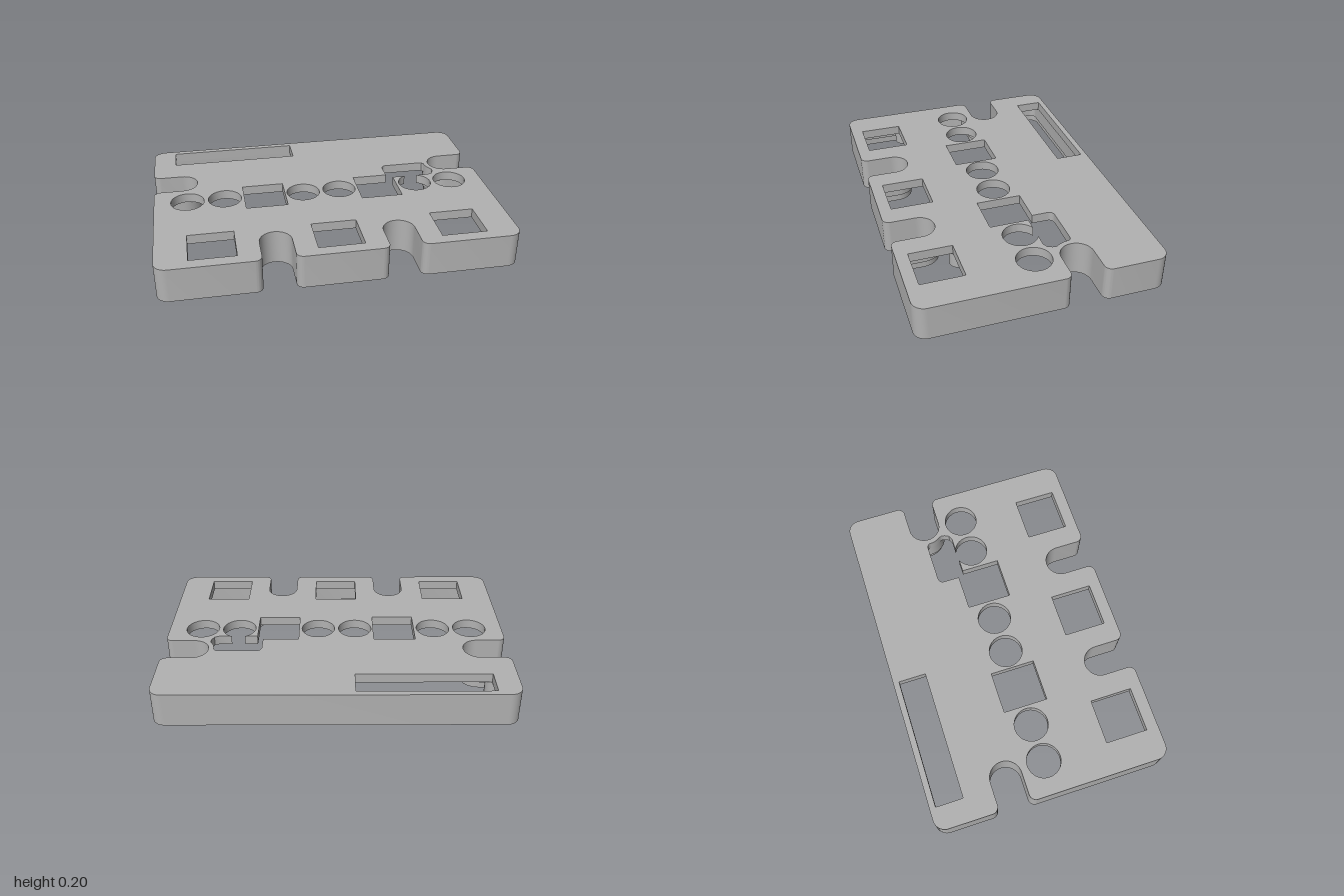
import * as THREE from 'three';
import { toCreasedNormals } from 'three/addons/utils/BufferGeometryUtils.js';

const HEIGHT = 0.2, CEILING = 0.145, STEP = 0.045, LIP = 0.013, WALL = 0.027;
const R = 0.07, F = 0.04; // outer corner and notch mouth radii
const V = (x, y) => new THREE.Vector2(x, y);

// Plan outline, counter-clockwise, as [x, -z, corner radius]
const PLAN = [
  [-1, -0.69, R],
  [-0.435, -0.69, F], [-0.435, -0.42, 0.09], [-0.255, -0.42, 0.09], [-0.255, -0.69, F],
  [0.255, -0.69, F], [0.255, -0.42, 0.09], [0.435, -0.42, 0.09], [0.435, -0.69, F],
  [1, -0.69, R],
  [1, 0.14, F], [0.737, 0.14, 0.0925], [0.737, 0.325, 0.0925], [1, 0.325, F],
  [1, 0.69, R], [-1, 0.69, R],
  [-1, 0.325, F], [-0.737, 0.325, 0.0925], [-0.737, 0.14, 0.0925], [-1, 0.14, F],
];

// Outline moved inward by d, with every corner rounded
function outline(d) {
  const pts = [], n = PLAN.length, steps = 10;
  PLAN.forEach(([x, y, r], i) => {
    const a = PLAN[(i + n - 1) % n], b = PLAN[(i + 1) % n];
    const u = V(x - a[0], y - a[1]).normalize();
    const v = V(b[0] - x, b[1] - y).normalize();
    const rr = u.cross(v) > 0 ? r - d : r + d;
    const p = V(x - d * (u.y + v.y), y + d * (u.x + v.x));
    const c = p.addScaledVector(u, -rr).addScaledVector(v, rr);
    for (let k = 0; k <= steps; k++) {
      const t = (k / steps) * Math.PI / 2;
      pts.push(c.clone().addScaledVector(v, -rr * Math.cos(t)).addScaledVector(u, rr * Math.sin(t)));
    }
  });
  return pts;
}

// Points on an arc, in x and -z
function arc(cx, cy, r, from, to, steps) {
  return Array.from({ length: steps + 1 }, (_, k) => {
    const t = from + (to - from) * k / steps;
    return V(cx + r * Math.cos(t), cy + r * Math.sin(t));
  });
}

const rect = (x0, x1, z0, z1) => [V(x0, -z0), V(x1, -z0), V(x1, -z1), V(x0, -z1)];

function openings() {
  const list = [
    rect(-0.865, -0.105, -0.655, -0.495), // display slot
    rect(-0.47, -0.225, -0.125, 0.135),
  ];
  for (const x of [-0.82, -0.13, 0.56]) list.push(rect(x, x + 0.258, 0.375, 0.62));
  for (const x of [-0.805, -0.585, -0.115, 0.105, 0.8]) {
    list.push(arc(x, 0, 0.098, 0, -Math.PI * 2, 40).slice(0, -1));
  }
  // Square, rounded cutout and round hole that run into each other
  const e = Math.asin(0.09 / 0.098);
  list.push([
    V(0.22, 0.125), V(0.43, 0.125),
    ...arc(0.46, 0.22, 0.03, Math.PI, Math.PI / 2, 6),
    V(0.68, 0.25), V(0.698, 0.246),
    ...arc(0.8295, 0.2325, 0.122, Math.PI, Math.PI + 0.63, 8),
    V(0.736, 0.148), V(0.733, 0.128), V(0.72, 0.102), V(0.695, 0.09),
    ...arc(0.58, 0, 0.098, e, -Math.PI - e, 36),
    V(0.465, 0.09), V(0.465, -0.135), V(0.22, -0.135),
  ]);
  return list;
}

// Closed skin through a series of [loop, y] sections
function skin(sections) {
  const pos = [];
  for (let s = 0; s + 1 < sections.length; s++) {
    const [A, ya] = sections[s], [B, yb] = sections[s + 1];
    for (let i = 0; i < A.length; i++) {
      const j = (i + 1) % A.length;
      const a = [A[i].x, ya, -A[i].y], b = [B[i].x, yb, -B[i].y];
      const c = [B[j].x, yb, -B[j].y], d = [A[j].x, ya, -A[j].y];
      pos.push(...a, ...b, ...c, ...a, ...c, ...d);
    }
  }
  const g = new THREE.BufferGeometry();
  g.setAttribute('position', new THREE.Float32BufferAttribute(pos, 3));
  return toCreasedNormals(g, 0.6);
}

// Flat pierced face, facing up or down
function face(loop, holes, y, up) {
  const flip = (pts) => pts.map((p) => V(p.x, up ? p.y : -p.y));
  const shape = new THREE.Shape(flip(loop));
  shape.holes = holes.map((h) => new THREE.Path(flip(h)));
  const g = new THREE.ShapeGeometry(shape);
  g.rotateX(up ? -Math.PI / 2 : Math.PI / 2);
  return g.translate(0, y, 0);
}

export function createModel() {
  const model = new THREE.Group();
  model.name = 'enclosureCover';
  const grey = new THREE.MeshStandardMaterial({ color: 0xb2b2b2 });
  grey.name = 'grey plastic';
  const add = (name, geometry) => {
    const mesh = new THREE.Mesh(geometry, grey);
    mesh.name = name;
    model.add(mesh);
    return mesh;
  };

  // Side wall with a stepped lip around the open underside
  const outer = outline(0), lip = outline(LIP), inner = outline(WALL);
  add('sideWall', skin([
    [outer, HEIGHT], [outer, 0], [lip, 0], [lip, STEP], [inner, STEP], [inner, CEILING],
  ]));

  // Top panel and the edges of its openings
  const holes = openings();
  add('topPanel', face(outer, holes, HEIGHT, true));
  add('panelUnderside', face(inner, holes, CEILING, false));
  holes.forEach((h) => add('openingEdge', skin([[h, HEIGHT], [h, CEILING]])));

  // Hollow screw posts
  const post = toCreasedNormals(new THREE.LatheGeometry([
    V(0.028, CEILING), V(0.028, STEP), V(0.055, STEP), V(0.055, CEILING),
  ], 32), 0.6);
  for (const [x, z] of [[0.89, -0.45], [-0.89, -0.45], [0.515, 0.33], [-0.9, 0.33]]) {
    add('screwPost', post).position.set(x, 0, z);
  }
  return model;
}
